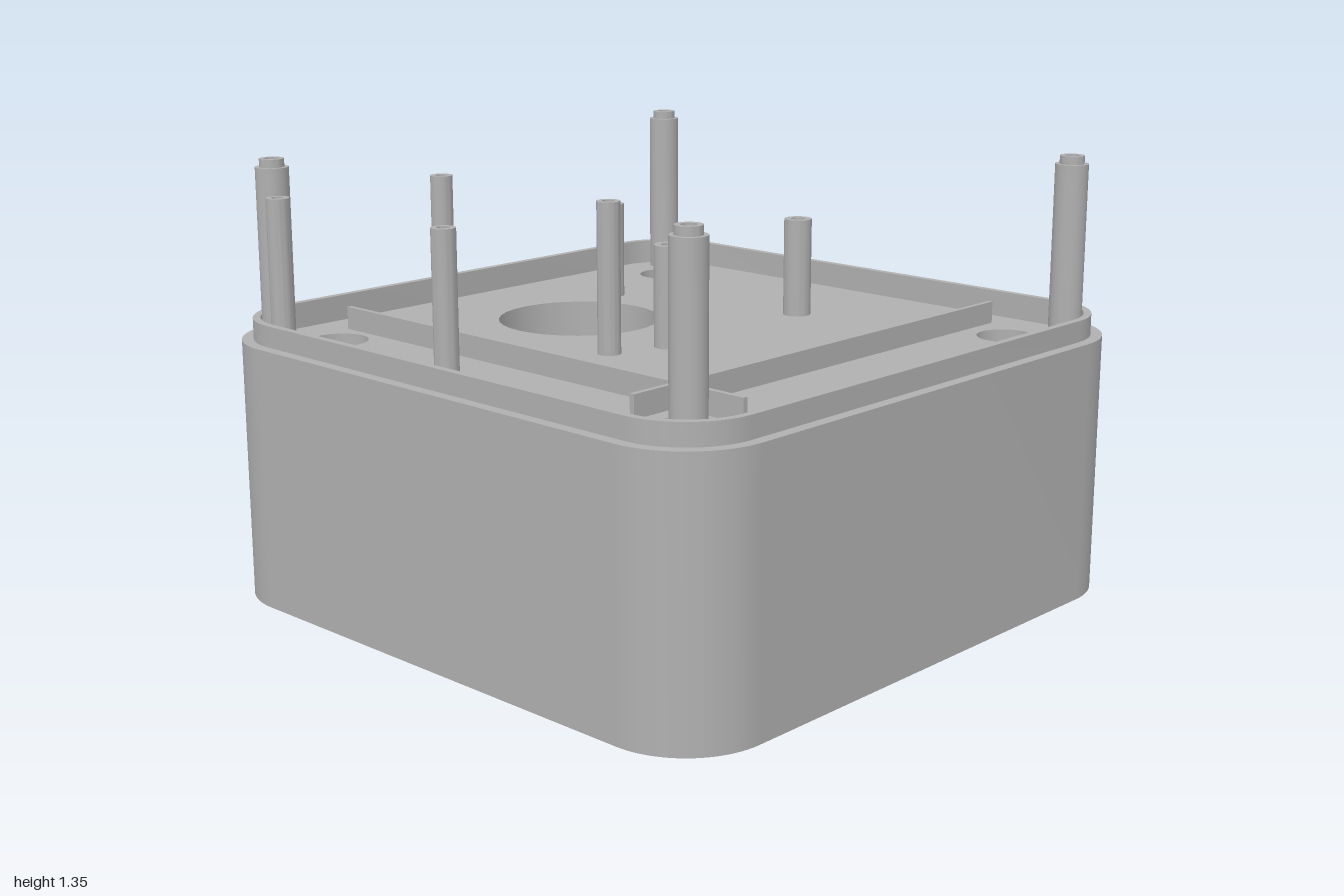
import * as THREE from 'three';
import { toCreasedNormals } from 'three/addons/utils/BufferGeometryUtils.js';

export function createModel() {
  const group = new THREE.Group();
  const gray = new THREE.MeshStandardMaterial({ color: 0xb0b0b0 });
  gray.name = 'plain gray';

  // Plan outlines: u = x, v = -z
  const roundRect = (half, r, Type = THREE.Shape) => {
    const s = new Type(), k = half - r;
    s.moveTo(half, -k);
    s.absarc(k, k, r, 0, Math.PI / 2);
    s.absarc(-k, k, r, Math.PI / 2, Math.PI);
    s.absarc(-k, -k, r, Math.PI, Math.PI * 1.5);
    s.absarc(k, -k, r, Math.PI * 1.5, Math.PI * 2);
    return s;
  };
  const circle = (x, z, r, Type = THREE.Path) => {
    const s = new Type();
    s.absarc(x, -z, r, 0, Math.PI * 2);
    return s;
  };
  const rect = (x, z, w, d, Type = THREE.Path) => {
    const s = new Type();
    s.moveTo(x - w / 2, -z - d / 2);
    s.lineTo(x + w / 2, -z - d / 2);
    s.lineTo(x + w / 2, -z + d / 2);
    s.lineTo(x - w / 2, -z + d / 2);
    s.closePath();
    return s;
  };

  // Raise a plan outline from y0 to y1
  const slab = (name, shape, y0, y1, holes = [], curveSegments = 16) => {
    shape.holes.push(...holes);
    const flat = new THREE.ExtrudeGeometry(shape, { depth: y1 - y0, bevelEnabled: false, curveSegments });
    flat.rotateX(-Math.PI / 2).translate(0, y0, 0);
    const mesh = new THREE.Mesh(toCreasedNormals(flat, 0.6), gray);
    mesh.name = name;
    group.add(mesh);
    return mesh;
  };
  const tube = (name, x, z, r, inner, y0, y1) =>
    slab(name, circle(x, z, r, THREE.Shape), y0, y1, [circle(x, z, inner)]);
  const box = (name, x, z, w, d, y0, y1) =>
    slab(name, rect(x, z, w, d, THREE.Shape), y0, y1);

  const corners = [[1, 1], [1, -1], [-1, 1], [-1, -1]];
  const hubZ = -0.415, plateTop = 0.79, ceiling = 0.745;

  // Shell open at the bottom, with a stepped lip on top
  slab('outerWall', roundRect(1, 0.26), 0, 0.805, [roundRect(0.962, 0.222, THREE.Path)]);
  slab('lip', roundRect(0.965, 0.225), 0.78, 0.87, [roundRect(0.942, 0.202, THREE.Path)]);
  slab('topPlate', roundRect(0.97, 0.23), ceiling, plateTop, [
    circle(0, hubZ, 0.258),
    ...corners.map(([a, b]) => circle(a * 0.72, b * 0.72, 0.09)),
  ]);

  // Crossed ribs on the plate
  box('longRib', -0.595, -0.005, 0.016, 1.64, plateTop, 0.86);
  box('crossRib', 0.04, 0.572, 1.61, 0.016, plateTop, 0.858);

  for (const [a, b] of corners) {
    // Tall corner posts with a stepped tip
    tube('cornerPost', a * 0.845, b * 0.847, 0.05, 0.021, plateTop, 1.32);
    tube('cornerPostTip', a * 0.845, b * 0.847, 0.037, 0.021, 1.32, 1.345);
    // Sleeves running down from the corner holes
    tube('cornerSleeve', a * 0.72, b * 0.72, 0.113, 0.09, 0.1, ceiling);
  }

  // Slim and short posts
  for (const x of [-0.905, -0.28])
    for (const z of [-0.742, 0.002]) tube('slimPost', x, z, 0.035, 0.018, plateTop, 1.245);
  for (const [x, z] of [[0.33, -0.602], [0.525, 0.047]]) tube('shortPost', x, z, 0.044, 0.022, plateTop, 1.1);

  // Short post with a slot in its upper half
  const px = -0.093, pz = 0.065;
  tube('slottedPostBase', px, pz, 0.044, 0.022, plateTop, 0.95);
  const slotted = new THREE.Shape();
  slotted.absarc(px, -pz, 0.044, -0.6, Math.PI * 1.5);
  slotted.absarc(px, -pz, 0.022, Math.PI * 1.5, -0.6, true);
  slotted.closePath();
  slab('slottedPostTop', slotted, 0.95, 1.1);

  // Central well ending in a flange with a keyhole tongue
  tube('wellTube', 0, hubZ, 0.27, 0.256, 0.05, plateTop);
  const w = 0.06, R = 0.195, r = 0.07;
  const a = Math.PI - Math.asin(w / R), b = Math.PI - Math.asin(w / r);
  const opening = new THREE.Path();
  opening.absarc(0, -hubZ, R, -a, a);
  opening.absarc(0, -hubZ, r, b, -b, true);
  opening.closePath();
  slab('flange', circle(0, hubZ, 0.37, THREE.Shape), 0.015, 0.055, [opening, circle(0, hubZ, 0.048)], 24);
  tube('hubRing', 0, hubZ, 0.068, 0.049, 0.055, 0.085);
  const collar = new THREE.Shape();
  collar.absarc(0, -hubZ, 0.21, -a, a);
  collar.absarc(0, -hubZ, R, a, -a, true);
  collar.closePath();
  slab('openingCollar', collar, 0.055, 0.09);
  box('tongueRib', -0.13, hubZ, 0.13, 0.06, 0.055, 0.075);
  box('tongueRoot', -0.207, hubZ, 0.07, 0.14, 0.055, 0.075);

  // Slotted pads near the side walls, each with four clips
  for (const [sx, sz] of corners) {
    const x = sx * 0.74, z = sz * 0.352;
    slab('slottedPad', rect(x, z, 0.27, 0.4, THREE.Shape), 0.1, 0.125, [rect(x, z, 0.07, 0.27)]);
    box('padSlotBack', x, z, 0.09, 0.29, 0.125, 0.14);
    for (const s of [-1, 1]) {
      box('padSideClip', x + s * 0.15, z, 0.03, 0.08, 0.06, 0.125);
      box('padEndClip', x, z + s * 0.215, 0.08, 0.03, 0.06, 0.125);
    }
    box('padBracket', sx * 0.92, z, 0.1, 0.08, 0.1, 0.125);
  }
  return group;
}
